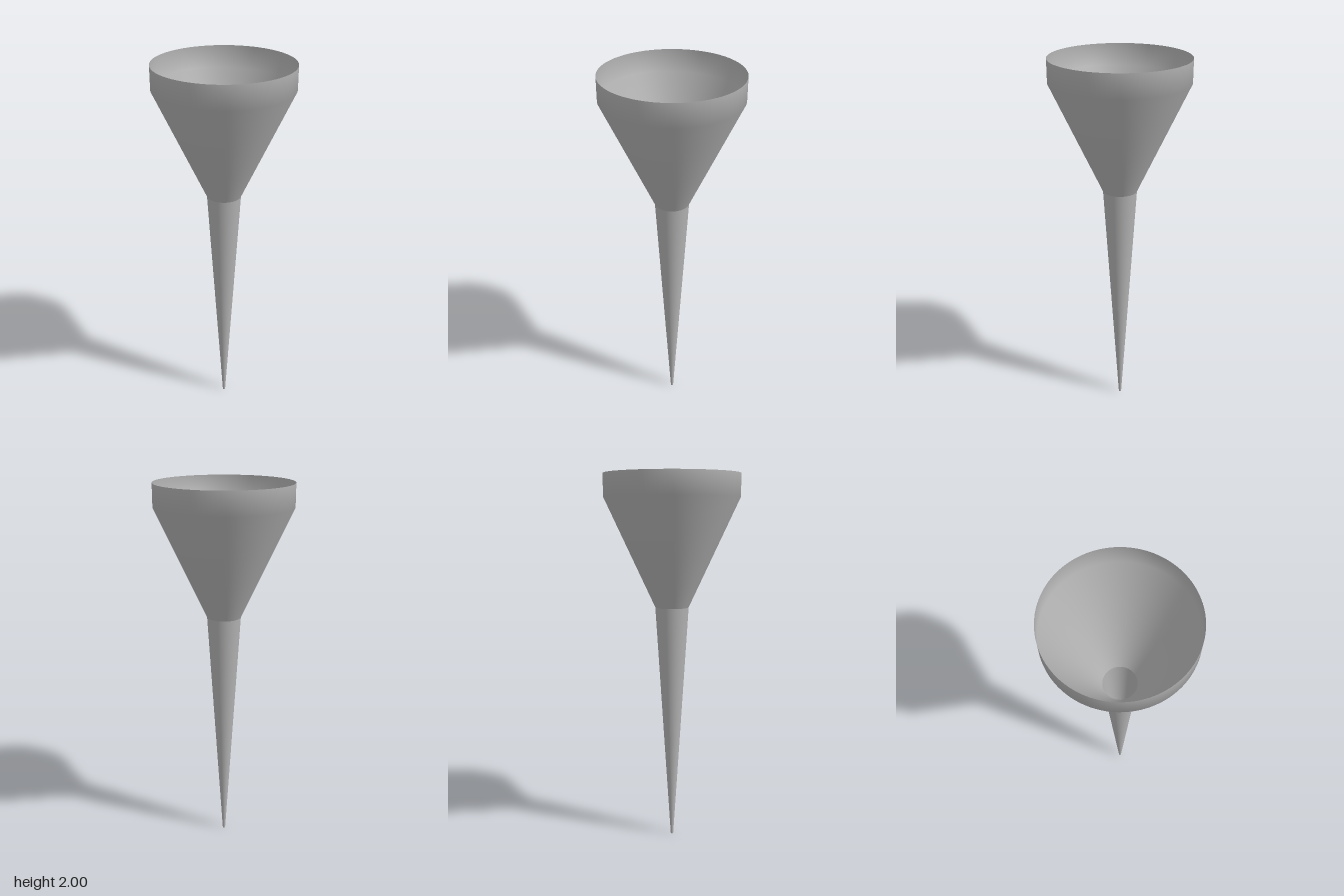
import * as THREE from 'three';

const SEGMENTS = 96;

export function createModel() {
  const group = new THREE.Group();
  group.name = 'funnel';

  const greyMetal = new THREE.MeshStandardMaterial({ color: 0xb2b2b2, side: THREE.DoubleSide });
  greyMetal.name = 'grey metal';

  // Thin open shell turned from a list of [radius, height] points
  const addShell = (name, profile) => {
    const points = profile.map(([r, y]) => new THREE.Vector2(r, y));
    const mesh = new THREE.Mesh(new THREE.LatheGeometry(points, SEGMENTS), greyMetal);
    mesh.name = name;
    group.add(mesh);
  };

  // Wide cone with a short upright rim, shaded as one smooth surface
  addShell('bowl', [[0.09, 1.3], [0.36, 1.88], [0.36, 2]]);

  // Long tapering spout
  addShell('spout', [[0.007, 0], [0.09, 1.3]]);

  // Small disc closing the tip
  const tip = new THREE.Mesh(new THREE.CircleGeometry(0.007, 24), greyMetal);
  tip.name = 'spoutTip';
  tip.rotation.x = -Math.PI / 2;
  group.add(tip);

  return group;
}
